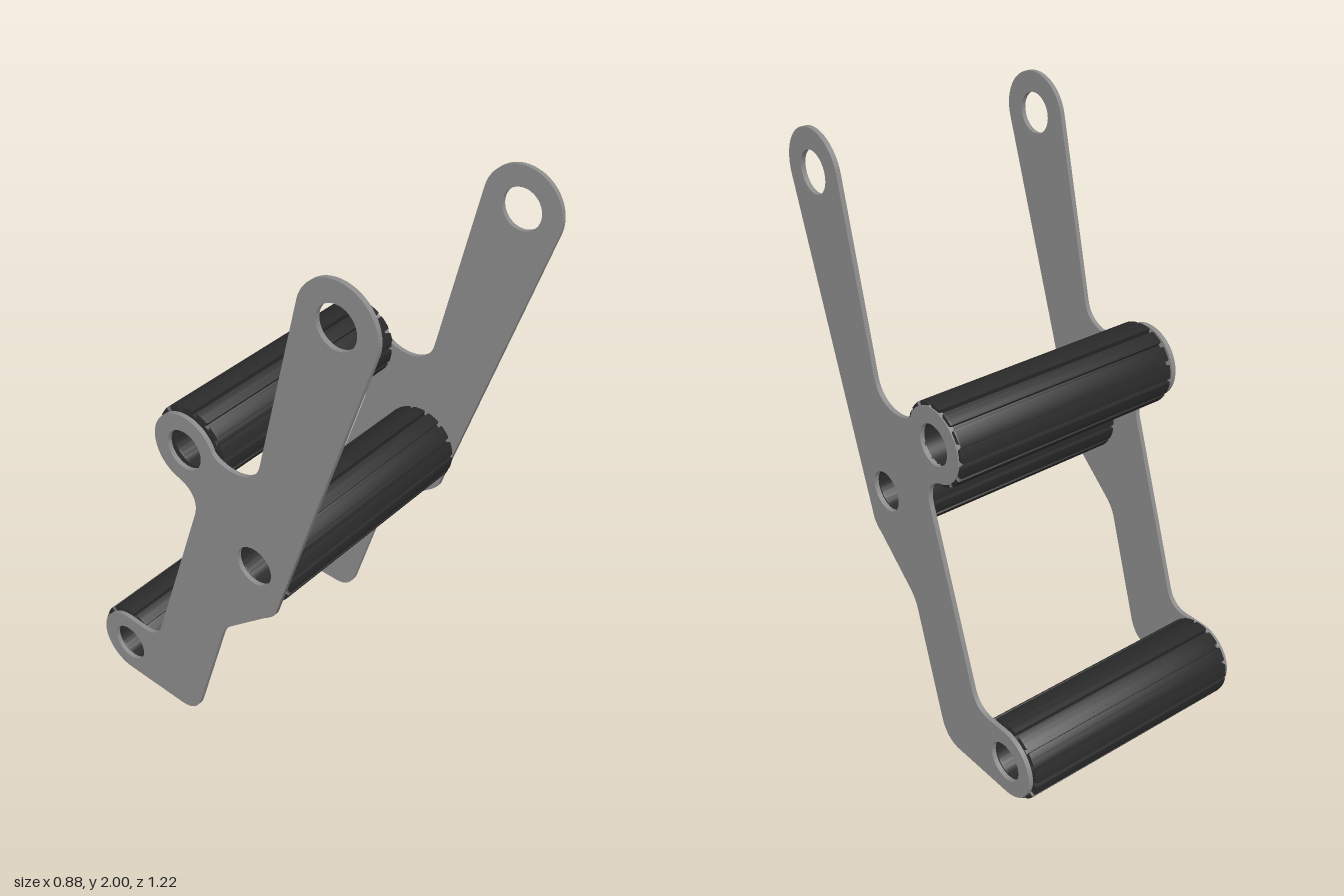
import * as THREE from 'three';
import { toCreasedNormals } from 'three/addons/utils/BufferGeometryUtils.js';

const rad = THREE.MathUtils.degToRad;
const HOLE = 0.07;
// Profiles are drawn in (-z, y), then turned so the extrusion runs along x
const TOP = [-0.47, 1.86], UPPER = [0.125, 1.175], MIDDLE = [-0.155, 0.86], LOWER = [0.468, 0.142];

function addHole(shape, [x, y]) {
  shape.holes.push(new THREE.Path().absarc(x, y, HOLE, 0, Math.PI * 2, true));
}

function extrudeAlongX(shape, x0, x1, bevel) {
  const geo = new THREE.ExtrudeGeometry(shape, {
    depth: x1 - x0 - 2 * bevel, curveSegments: 28, bevelEnabled: bevel > 0,
    bevelSize: bevel, bevelThickness: bevel, bevelOffset: -bevel, bevelSegments: 2,
  });
  geo.translate(0, 0, x0 + bevel).rotateY(Math.PI / 2);
  return toCreasedNormals(geo, rad(35));
}

// Cranked side plate with rounded ends and four holes
function plateShape() {
  const s = new THREE.Shape();
  s.moveTo(-0.603, 1.816);
  s.lineTo(-0.24, 0.71);
  s.quadraticCurveTo(-0.23, 0.69, -0.193, 0.665);
  s.lineTo(-0.045, 0.538);
  s.quadraticCurveTo(-0.012, 0.51, 0, 0.47);
  s.lineTo(0.118, 0.085);
  s.quadraticCurveTo(0.143, 0.003, 0.22, 0.008);
  s.lineTo(0.47, 0.017);
  s.absarc(...LOWER, 0.125, rad(-88), rad(95), false);
  s.lineTo(0.375, 0.262);
  s.quadraticCurveTo(0.315, 0.265, 0.295, 0.325);
  s.lineTo(0.098, 0.925);
  s.bezierCurveTo(0.07, 1.0, 0.11, 1.035, 0.15, 1.05);
  s.absarc(...UPPER, 0.127, rad(-79), rad(160), false);
  s.bezierCurveTo(-0.03, 1.18, -0.16, 1.165, -0.188, 1.265);
  s.absarc(...TOP, 0.14, rad(12.6), rad(198), false);
  [TOP, UPPER, MIDDLE, LOWER].forEach((c) => addHole(s, c));
  return s;
}

// Hollow roller section: ribs separated by narrow grooves
function rollerShape() {
  const ribs = 14, step = 360 / ribs, half = 2.9, arcSteps = 6;
  const pts = [];
  const polar = (r, deg) => pts.push(new THREE.Vector2(r * Math.cos(rad(deg)), r * Math.sin(rad(deg))));
  for (let i = 0; i < ribs; i++) {
    const a = 99.4 + i * step;
    polar(0.123, a - half);
    polar(0.123, a + half);
    for (let j = 0; j <= arcSteps; j++) polar(0.14, a + half + (step - 2 * half) * j / arcSteps);
  }
  const s = new THREE.Shape(pts);
  addHole(s, [0, 0]);
  return s;
}

export function createModel() {
  const group = new THREE.Group();
  const plateMat = new THREE.MeshStandardMaterial({ color: 0x8c8c8c });
  const rollerMat = new THREE.MeshStandardMaterial({ color: 0x2b2b2b });

  // Side plates
  const plate = plateShape();
  for (const [name, x0] of [['leftPlate', 0.422], ['rightPlate', -0.438]]) {
    const mesh = new THREE.Mesh(extrudeAlongX(plate, x0, x0 + 0.016, 0), plateMat);
    mesh.name = name;
    group.add(mesh);
  }

  // Ribbed rollers between the plates; the upper one sits slightly to the left
  const section = rollerShape();
  for (const [name, [u, y], x0, x1] of [
    ['upperRoller', UPPER, -0.408, 0.434],
    ['middleRoller', MIDDLE, -0.422, 0.42],
    ['lowerRoller', LOWER, -0.422, 0.42],
  ]) {
    const mesh = new THREE.Mesh(extrudeAlongX(section, x0, x1, 0.008), rollerMat);
    mesh.name = name;
    mesh.position.set(0, y, -u);
    group.add(mesh);
  }
  return group;
}
